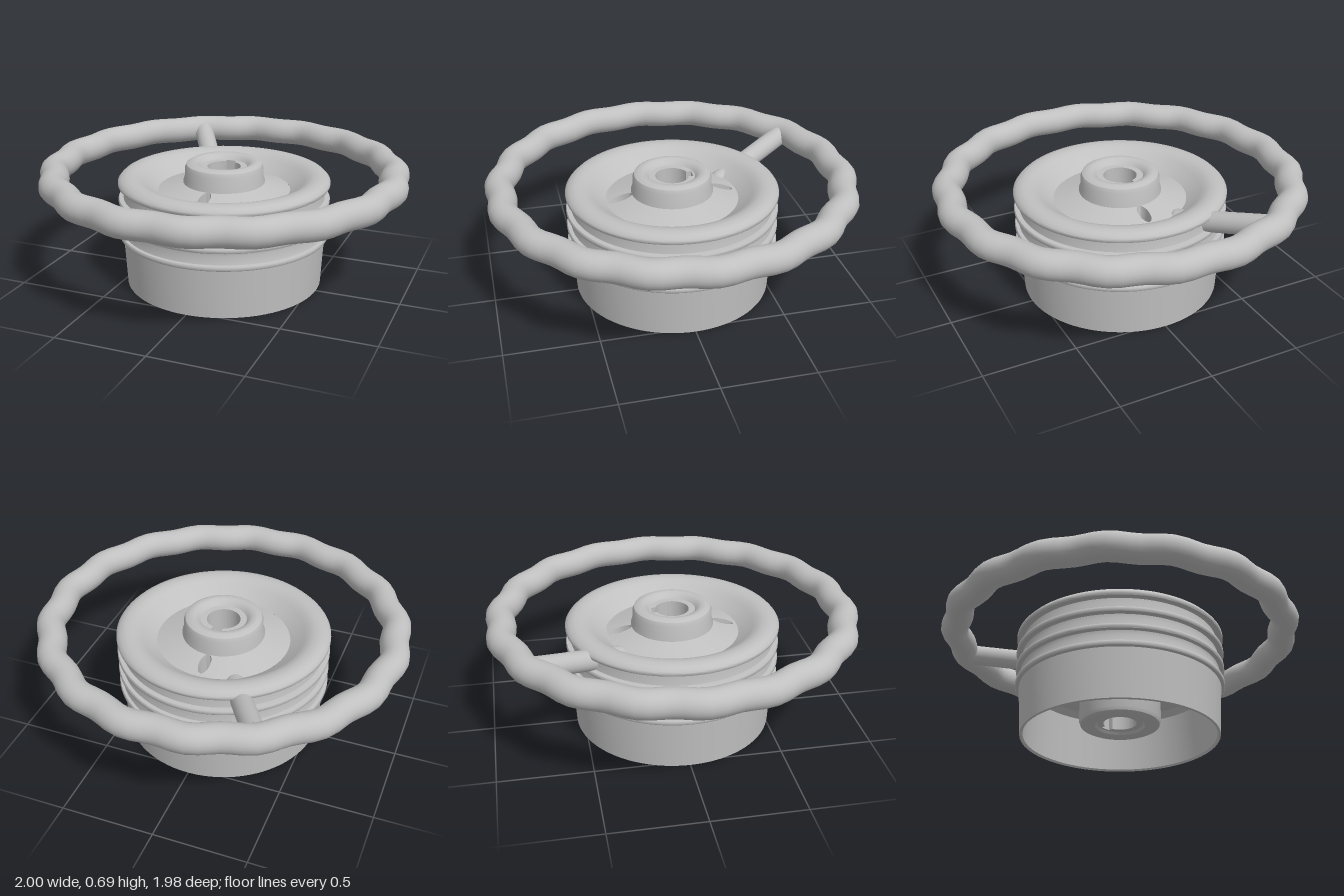
import * as THREE from 'three';
import { toCreasedNormals } from 'three/addons/utils/BufferGeometryUtils.js';

const SEG = 80;
const FLOOR_R = 0.36, BOSS_R = 0.18, WEB_Y = 0.33;
const floorY = (r) => 0.525 + (FLOOR_R - r) * 0.3;

function lathe(points, start = 0, length = Math.PI * 2) {
  const pts = points.map(([r, y]) => new THREE.Vector2(r, y));
  const segments = Math.max(8, Math.round((SEG * length) / (Math.PI * 2)));
  return toCreasedNormals(new THREE.LatheGeometry(pts, segments, start, length), 0.6);
}

// Scalloped centre line of the grip ring: 18 gentle lobes
class GripCurve extends THREE.Curve {
  getPoint(t, target = new THREE.Vector3()) {
    const a = t * Math.PI * 2;
    const r = 0.914 + 0.011 * Math.cos(18 * a);
    return target.set(r * Math.cos(a), 0.62, r * Math.sin(a));
  }
}

export function createModel() {
  const group = new THREE.Group();
  const metal = new THREE.MeshStandardMaterial({ color: 0xc0c0c0 });
  metal.name = 'light grey metal';
  const add = (name, geometry) => {
    const mesh = new THREE.Mesh(geometry, metal);
    mesh.name = name;
    group.add(mesh);
    return mesh;
  };

  add('gripRing', new THREE.TubeGeometry(new GripCurve(), 108, 0.075, 24, true));

  // Drum: inner wall, skirt, four ridges, rounded lip and sloping bowl
  const profile = [[FLOOR_R, WEB_Y], [0.47, WEB_Y], [0.505, 0.3], [0.522, 0.01], [0.53, 0], [0.54, 0.004]];
  for (let i = 0; i < 4; i++) {
    const y = 0.275 + i * 0.095;
    profile.push([0.555 - i * 0.005, y], [0.572, y + 0.002], [0.576, y + 0.008], [0.576, y + 0.022], [0.572, y + 0.028]);
    if (i < 3) profile.push([0.558 - i * 0.005, y + 0.03], [0.546 - i * 0.003, y + 0.075]);
  }
  profile.push([0.556, 0.604], [0.525, 0.613], [0.49, 0.61], [0.46, 0.6], [0.435, 0.58], [FLOOR_R, 0.525]);
  add('drum', lathe(profile));

  // Web between drum and boss, with a gap at front and back for the drilled plates
  const half = 0.25;
  for (const side of [0, 1]) {
    const start = side * Math.PI + half, length = Math.PI - 2 * half;
    add('webTop', lathe([[FLOOR_R, 0.525], [BOSS_R, floorY(BOSS_R)]], start, length));
    add('webUnderside', lathe([[BOSS_R, WEB_Y], [FLOOR_R, WEB_Y]], start, length));
  }

  // Drilled plates: sectors of the web with a tapering slanted hole
  const sector = new THREE.Shape();
  sector.absarc(0, 0, FLOOR_R, Math.PI / 2 - half, Math.PI / 2 + half, false);
  sector.absarc(0, 0, BOSS_R, Math.PI / 2 + half, Math.PI / 2 - half, true);
  const drill = new THREE.Path();
  drill.absellipse(0, 0.28, 0.03, 0.06, 0, Math.PI * 2, true);
  sector.holes.push(drill);
  const plate = new THREE.ExtrudeGeometry(sector, { depth: 1, bevelEnabled: false, curveSegments: 12 });
  const pos = plate.attributes.position;
  for (let i = 0; i < pos.count; i++) {
    const x = pos.getX(i), y = pos.getY(i), r = Math.hypot(x, y);
    const top = pos.getZ(i) > 0.5;
    const inHole = Math.abs(x) < 0.032 && r > 0.2 && r < 0.355;
    const radial = inHole && !top ? 0.238 + (y - 0.28) * 0.45 : y;
    pos.setXYZ(i, x, top ? floorY(r) : WEB_Y, -radial);
  }
  const plateGeometry = toCreasedNormals(plate, 0.6);
  add('drilledPlateBack', plateGeometry);
  add('drilledPlateFront', plateGeometry).rotation.y = Math.PI;

  // Central boss: rounded shell around a core with a keyed bore
  add('bossShell', lathe([
    [0.125, 0.09], [0.135, 0.076], [0.16, 0.07], [0.195, 0.07], [0.215, 0.08], [0.222, 0.1], [0.222, 0.4],
    [0.222, 0.575], [0.214, 0.6], [0.213, 0.645], [0.204, 0.667], [0.18, 0.68], [0.155, 0.678], [0.135, 0.666], [0.12, 0.645],
  ]));
  const core = new THREE.Shape().absarc(0, 0, 0.14, 0, Math.PI * 2, false);
  const bore = new THREE.Path();
  const key = Math.asin(0.028 / 0.09);
  bore.absarc(0, 0, 0.09, Math.PI / 2 - key, Math.PI / 2 + key, true);
  bore.lineTo(-0.028, 0.112);
  bore.lineTo(0.028, 0.112);
  bore.closePath();
  core.holes.push(bore);
  const coreGeometry = new THREE.ExtrudeGeometry(core, { depth: 0.56, bevelEnabled: false, curveSegments: 48 });
  coreGeometry.rotateX(-Math.PI / 2).translate(0, 0.09, 0);
  add('keyedBore', toCreasedNormals(coreGeometry, 0.6));

  // Single slanted spoke from the drum to the ring
  const dx = -0.5, dz = -0.866;
  const path = new THREE.LineCurve3(
    new THREE.Vector3(dx * 0.37, 0.49, dz * 0.37),
    new THREE.Vector3(dx * 0.91, 0.618, dz * 0.91));
  add('spoke', new THREE.TubeGeometry(path, 1, 0.056, 24, false));
  const tip = add('spokeEnd', new THREE.SphereGeometry(0.056, 24, 12));
  tip.position.copy(path.v1);

  return group;
}
